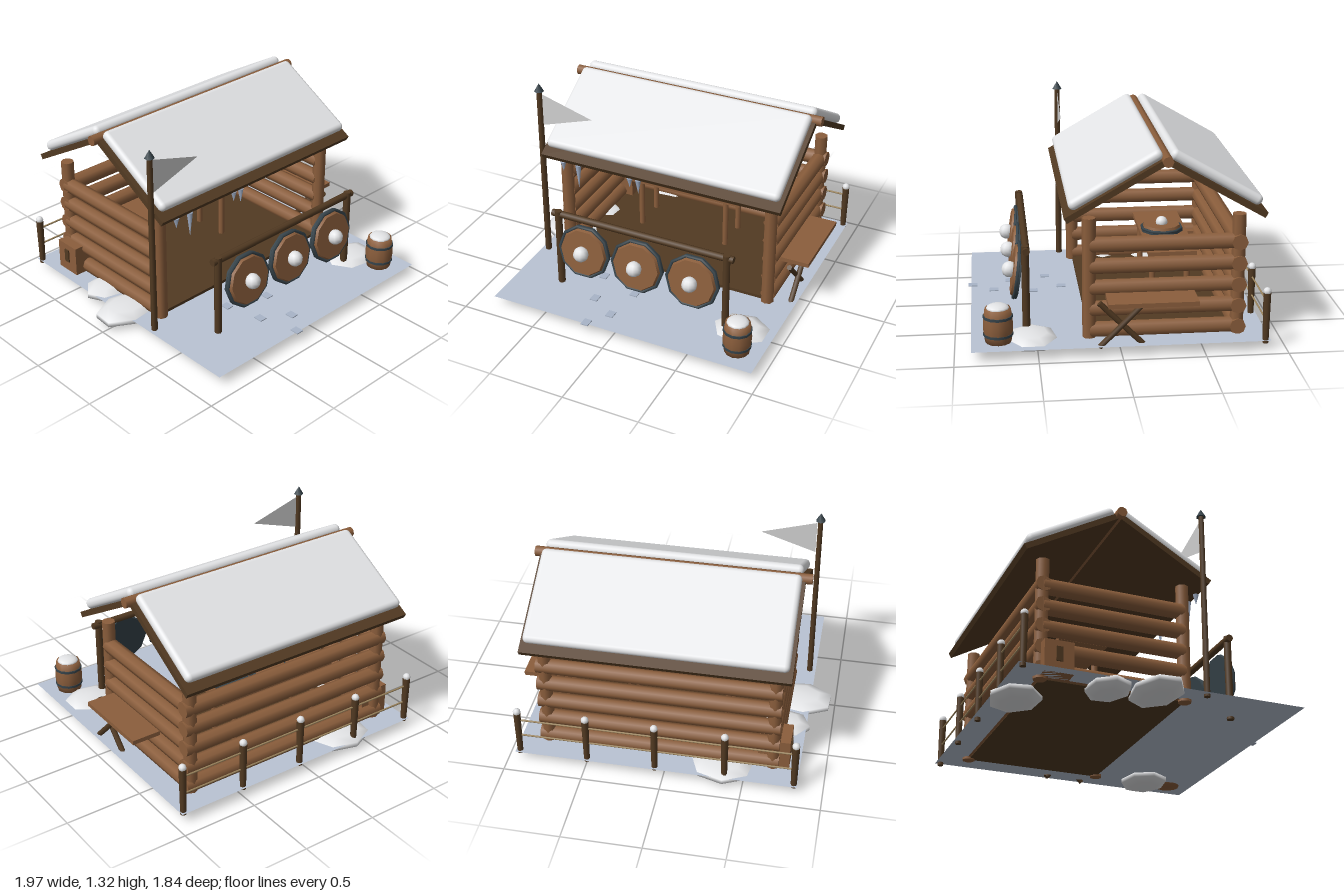
import * as THREE from 'three';
import { RoundedBoxGeometry } from 'three/addons/geometries/RoundedBoxGeometry.js';

const mat = (name, color, side = THREE.FrontSide) => {
  const m = new THREE.MeshStandardMaterial({ color, side });
  m.name = name;
  return m;
};

export function createModel() {
  const root = new THREE.Group();
  const logWood = mat('log wood', 0x8b5e3c);
  const darkWood = mat('dark wood', 0x523a22);
  const steel = mat('dark steel', 0x37444b);
  const snow = mat('snow', 0xeaebed);
  const ground = mat('icy ground', 0xbac4d4, THREE.DoubleSide);
  const ice = mat('ice', 0xa6b4cc);
  const rope = mat('rope', 0xa08860);
  const cloth = mat('flag cloth', 0xd2d2d2, THREE.DoubleSide);
  const print = mat('footprint', 0xa9b5c8, THREE.DoubleSide);

  const add = (name, geo, m, x = 0, y = 0, z = 0, parent = root) => {
    const mesh = new THREE.Mesh(geo, m);
    mesh.name = name;
    mesh.position.set(x, y, z);
    parent.add(mesh);
    return mesh;
  };
  const box = (name, m, w, h, d, x, y, z, parent) =>
    add(name, new THREE.BoxGeometry(w, h, d), m, x, y, z, parent);
  // round bar between two points
  const bar = (name, m, a, b, r0, r1 = r0, sides = 8) => {
    const p = new THREE.Vector3(...a), q = new THREE.Vector3(...b);
    const dir = q.clone().sub(p), mid = p.clone().add(q).multiplyScalar(0.5);
    const mesh = add(name, new THREE.CylinderGeometry(r1, r0, dir.length(), sides), m, mid.x, mid.y, mid.z);
    mesh.quaternion.setFromUnitVectors(new THREE.Vector3(0, 1, 0), dir.normalize());
    return mesh;
  };

  const G = 0.065; // ground height
  const L = -0.67, R = 0.77, F = 0.185, B = -0.72; // hut corners

  // ground sheet and hut floor
  add('ground', new THREE.PlaneGeometry(1.79, 1.8).rotateX(-Math.PI / 2), ground, 0.055, G, 0);
  box('floor', darkWood, R - L, 0.03, F - B, (L + R) / 2, 0.07, (F + B) / 2);

  // footprints leading to the hut
  const steps = [[-0.17, 0.89], [-0.07, 0.75], [-0.24, 0.64], [-0.03, 0.49], [-0.3, 0.4], [-0.1, 0.3]];
  for (const [x, z] of steps) box('footprint', print, 0.05, 0.006, 0.06, x, G + 0.004, z);

  // corner posts
  for (const x of [L, R]) for (const z of [F, B])
    bar('cornerPost', logWood, [x, 0.05, z], [x, 0.82, z], 0.042);

  // log walls on three sides
  for (let i = 0; i < 5; i++) {
    const y = 0.11 + i * 0.135;
    bar('backLog', logWood, [L - 0.04, y, B], [R + 0.05, y, B], 0.05);
    for (const x of [L, R]) bar('sideLog', logWood, [x, y, F], [x, y, B], 0.05);
  }

  // roof slabs, snow blankets and ridge log
  for (const s of [1, -1]) {
    const slab = box('roofSlab', darkWood, 1.65, 0.036, 0.69, 0.055, 1.008, -0.265 + s * 0.297);
    const cover = add('roofSnow', new RoundedBoxGeometry(1.61, 0.066, 0.63, 4, 0.032), snow, 0.055, 1.064, -0.265 + s * 0.3);
    slab.rotation.x = cover.rotation.x = s * Math.PI / 6;
  }
  bar('ridgeLog', logWood, [-0.81, 1.183, -0.265], [0.915, 1.183, -0.265], 0.033);

  // icicles under the front eave
  for (const [x, h] of [[-0.63, 0.07], [-0.52, 0.17], [-0.15, 0.07], [-0.09, 0.1]])
    add('icicle', new THREE.ConeGeometry(0.02, h, 6).rotateX(Math.PI), ice, x, 0.81 - h / 2, 0.3);

  // flagpole and pennant
  bar('flagpole', darkWood, [-0.8, 0.05, 0.27], [-0.8, 1.28, 0.27], 0.021, 0.018, 6);
  add('poleTip', new THREE.ConeGeometry(0.032, 0.055, 6), steel, -0.8, 1.296, 0.27);
  const pennant = new THREE.Shape([[-0.78, 1.25], [-0.78, 1.03], [-0.425, 1.145]].map(p => new THREE.Vector2(...p)));
  add('flag', new THREE.ShapeGeometry(pennant), cloth, 0, 0, 0.27);

  // round shield facing +z
  const shield = (r, x, y, z, tilt) => {
    const g = new THREE.Group();
    g.name = 'shield';
    const disc = (name, m, a, b, d, zz) => add(name,
      new THREE.CylinderGeometry(a, b, d, 10, 1, false, Math.PI / 10).rotateX(Math.PI / 2), m, 0, 0, zz, g);
    disc('shieldBack', steel, r, r, 0.016, -0.012);
    disc('shieldFace', logWood, r * 0.86, r * 0.94, 0.03, 0.008);
    add('shieldRim', new THREE.TorusGeometry(r * 0.96, r * 0.065, 6, 10), steel, 0, 0, 0, g);
    add('shieldBoss', new THREE.SphereGeometry(r * 0.28, 10, 8), snow, 0, 0, r * 0.24, g);
    g.position.set(x, y, z);
    g.rotation.x = tilt;
    root.add(g);
  };

  // shield rack
  for (const x of [-0.53, 0.635]) bar('rackPost', darkWood, [x, 0.05, 0.56], [x, 0.61, 0.56], 0.024);
  bar('rackBeam', darkWood, [-0.575, 0.585, 0.555], [0.68, 0.585, 0.555], 0.023);
  for (const x of [-0.325, 0.05, 0.43]) shield(0.18, x, 0.385, 0.61, -0.14);

  // table inside, with shields lying on it
  box('tableTop', logWood, 0.86, 0.027, 0.31, -0.035, 0.443, -0.38);
  for (const x of [-0.35, 0.28]) for (const z of [-0.265, -0.49])
    bar('tableLeg', logWood, [x, 0.07, z], [x, 0.435, z], 0.02);
  shield(0.14, -0.05, 0.48, -0.37, -Math.PI / 2);
  add('tableDisc', new THREE.CylinderGeometry(0.12, 0.12, 0.025, 10), steel, 0.23, 0.469, -0.38);

  // outdoor bench with crossed legs
  box('benchBoard', logWood, 0.19, 0.028, 0.54, 0.905, 0.341, -0.18);
  for (const s of [1, -1])
    bar('crossLeg', darkWood, [0.9 + s * 0.01, 0.05, s * 0.135], [0.9 + s * 0.01, 0.325, -s * 0.135], 0.018, 0.018, 6);

  // crate at the back left corner
  box('crate', logWood, 0.2, 0.2, 0.18, -0.675, 0.165, -0.64);
  box('cratePanel', darkWood, 0.008, 0.09, 0.04, -0.779, 0.18, -0.64);

  // barrel with bands and a snowy lid
  const profile = [[0, 0], [0.078, 0], [0.087, 0.06], [0.091, 0.11], [0.087, 0.165], [0.078, 0.225], [0, 0.225]];
  add('barrel', new THREE.LatheGeometry(profile.map(p => new THREE.Vector2(...p)), 12), logWood, 0.79, 0.055, 0.735);
  for (const y of [0.115, 0.228])
    add('barrelBand', new THREE.CylinderGeometry(0.091, 0.091, 0.016, 12), steel, 0.79, y, 0.735);
  add('barrelSnow', new THREE.SphereGeometry(0.07, 12, 8), snow, 0.79, 0.28, 0.735).scale.y = 0.35;

  // rope fence along the back
  const posts = [-0.82, -0.385, 0.055, 0.49, 0.925];
  for (const x of posts) {
    bar('fencePost', darkWood, [x, 0.045, -0.87], [x, 0.365, -0.87], 0.019, 0.024);
    add('fenceSnowCap', new THREE.SphereGeometry(0.025, 8, 6), snow, x, 0.375, -0.87);
  }
  for (const y of [0.19, 0.31])
    bar('fenceRope', rope, [posts[0], y, -0.87], [posts[4], y, -0.87], 0.006, 0.006, 6);

  // snow drifts: x, z, half width, half depth
  const drifts = [[0.735, 0.53, 0.19, 0.16], [-0.76, -0.035, 0.24, 0.16],
    [-0.69, -0.31, 0.18, 0.14], [-0.36, -0.765, 0.21, 0.165]];
  drifts.forEach(([x, z, w, d], i) => {
    const geo = new THREE.SphereGeometry(1, 7, 5).rotateY(i * 1.3).scale(w, 0.052, d);
    add('snowDrift', geo, snow, x, 0.052, z);
  });
  return root;
}
